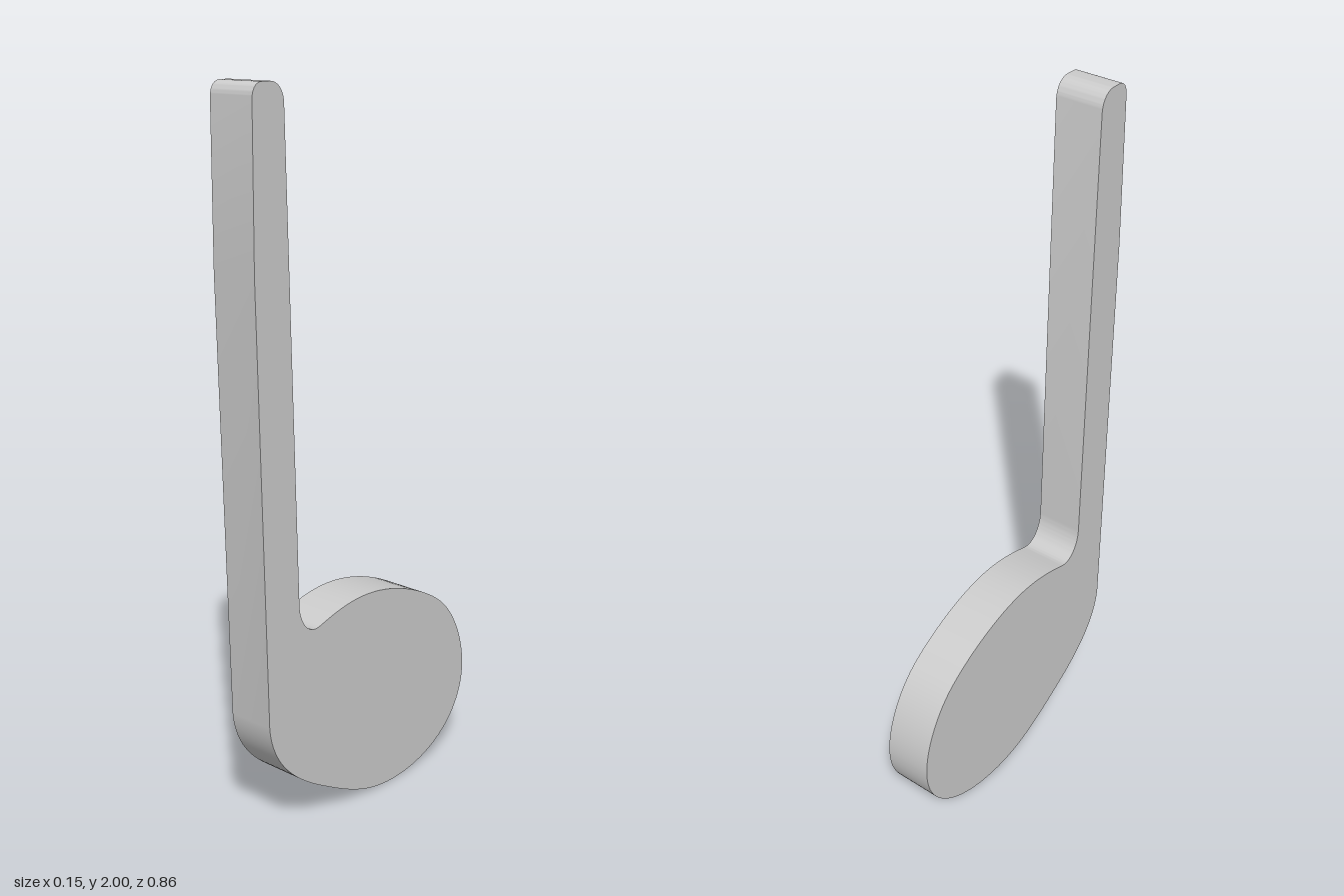
import * as THREE from 'three';
import { toCreasedNormals } from 'three/addons/utils/BufferGeometryUtils.js';

const THICKNESS = 0.138;
const LEAN = 0.0077; // sideways lean per unit of height

// Side outline, drawn counter-clockwise with x running towards the back
function noteOutline() {
  const s = new THREE.Shape();
  s.moveTo(-0.4, 0.36);
  // underside of the oval head
  s.bezierCurveTo(-0.39, 0.24, -0.3, 0.165, -0.19, 0.103);
  s.bezierCurveTo(-0.08, 0.04, 0, 0, 0.11, 0);
  // rounded back and top of the head
  s.bezierCurveTo(0.29, 0, 0.43, 0.1, 0.43, 0.25);
  s.bezierCurveTo(0.43, 0.34, 0.38, 0.45, 0.3, 0.507);
  s.bezierCurveTo(0.25, 0.545, 0.11, 0.62, -0.03, 0.62);
  s.bezierCurveTo(-0.1, 0.62, -0.16, 0.602, -0.205, 0.588);
  // fillet into the stem
  s.bezierCurveTo(-0.25, 0.573, -0.283, 0.62, -0.285, 0.67);
  // tapered stem with a rounded tip
  s.lineTo(-0.328, 1.95);
  s.bezierCurveTo(-0.33, 1.98, -0.35, 2, -0.375, 2);
  s.lineTo(-0.4, 2);
  s.bezierCurveTo(-0.42, 2, -0.433, 1.985, -0.433, 1.96);
  s.lineTo(-0.433, 1.55);
  s.closePath();
  return s;
}

export function createModel() {
  const group = new THREE.Group();
  group.name = 'musicalNote';

  const geometry = new THREE.ExtrudeGeometry(noteOutline(), {
    depth: THICKNESS, bevelEnabled: false, curveSegments: 24,
  });
  // Turn the thickness onto x, then lean the slab slightly about its middle height
  geometry.translate(0, 0, -THICKNESS / 2);
  geometry.rotateY(Math.PI / 2);
  geometry.applyMatrix4(new THREE.Matrix4().makeShear(0, 0, LEAN, 0, 0, 0));
  geometry.translate(-LEAN, 0, 0);

  const note = new THREE.Mesh(
    toCreasedNormals(geometry, Math.PI / 6),
    new THREE.MeshStandardMaterial({ color: 0xcccccc }),
  );
  note.name = 'noteHeadAndStem';
  group.add(note);
  return group;
}
